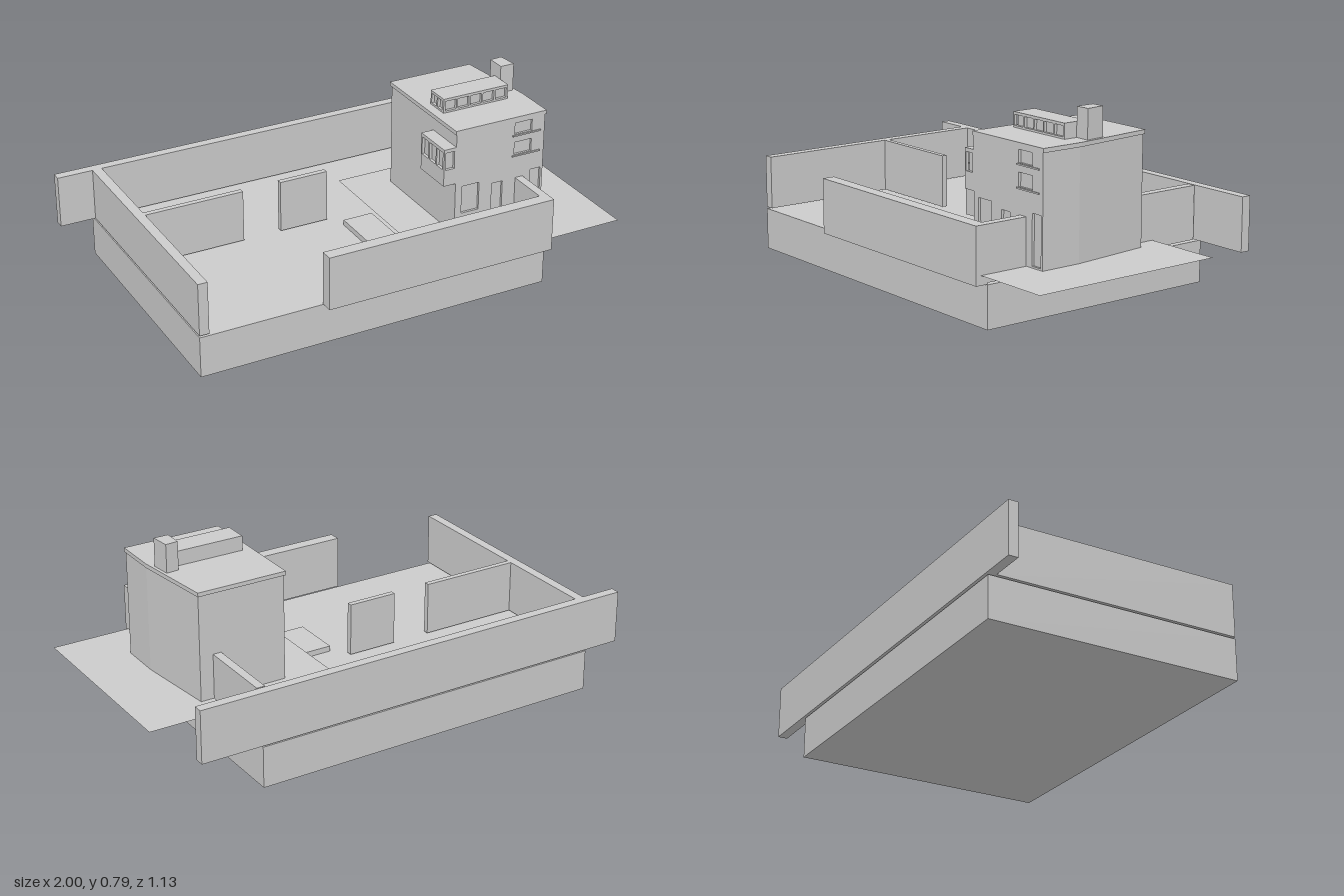
import * as THREE from 'three';

const mat = new THREE.MeshStandardMaterial({ color: 0xcccccc, flatShading: true });
const sheetMat = new THREE.MeshStandardMaterial({ color: 0xcccccc, side: THREE.DoubleSide });

// Box given by its limits on each axis
function box(parent, name, x0, x1, y0, y1, z0, z1) {
  const m = new THREE.Mesh(new THREE.BoxGeometry(x1 - x0, y1 - y0, z1 - z0), mat);
  m.position.set((x0 + x1) / 2, (y0 + y1) / 2, (z0 + z1) / 2);
  m.name = name;
  parent.add(m);
  return m;
}

// Upright prism over a floor plan of [x, z] points
function prism(parent, name, plan, y0, y1) {
  const shape = new THREE.Shape(plan.map(([x, z]) => new THREE.Vector2(x, -z)));
  const g = new THREE.ExtrudeGeometry(shape, { depth: y1 - y0, bevelEnabled: false });
  g.rotateX(-Math.PI / 2);
  const m = new THREE.Mesh(g, mat);
  m.position.y = y0;
  m.name = name;
  parent.add(m);
}

// Box with a band of set-back panes between posts on its front and left-hand end
function glazedBox(parent, name, [x0, x1, y0, y1, z0, z1], sill, head, nx, nz) {
  const g = new THREE.Group();
  g.name = name;
  const t = 0.008, d = 0.012;
  box(g, 'core', x0 + d, x1, y0, y1, z0, z1 - d);
  box(g, 'parapet', x0, x1, y0, sill, z0, z1);
  box(g, 'lid', x0, x1, head, y1, z0, z1);
  for (let i = 0; i <= nx; i++) {
    const x = x0 + (x1 - x0 - t) * i / nx;
    box(g, 'frontPost', x, x + t, sill, head, z1 - d, z1);
  }
  for (let i = 0; i < nz; i++) {
    const z = z0 + (z1 - z0 - t) * i / nz;
    box(g, 'sidePost', x0, x0 + d, sill, head, z, z + t);
  }
  parent.add(g);
}

// Flat sheet facing up
function sheet(parent, name, x0, x1, z0, z1, y) {
  const m = new THREE.Mesh(new THREE.PlaneGeometry(x1 - x0, z1 - z0).rotateX(-Math.PI / 2), sheetMat);
  m.position.set((x0 + x1) / 2, y, (z0 + z1) / 2);
  m.name = name;
  parent.add(m);
}

export function createModel() {
  const root = new THREE.Group();
  root.name = 'walledHouse';

  // Plinth and paving
  box(root, 'plinth', -0.85, 0.665, 0, 0.172, -0.56, 0.51);
  sheet(root, 'paving', 0.16, 1, -0.3, 0.54, 0.212);
  box(root, 'doorstep', 0.03, 0.16, 0.172, 0.195, -0.01, 0.205);

  // Yard walls
  const walls = new THREE.Group();
  walls.name = 'yardWalls';
  root.add(walls);
  box(walls, 'backWall', -1, 0.925, 0.18, 0.4, -0.565, -0.525);
  box(walls, 'frontWall', -0.335, 0.665, 0.174, 0.4, 0.51, 0.562);
  box(walls, 'rightWall', -0.85, -0.81, 0.18, 0.4, -0.525, 0.51);
  box(walls, 'leftWallBack', 0.63, 0.665, 0.18, 0.4, -0.52, -0.19);
  box(walls, 'leftWallFront', 0.63, 0.665, 0.18, 0.4, 0.33, 0.51);
  box(walls, 'innerWallLong', -0.81, -0.39, 0.18, 0.4, -0.095, -0.072);
  box(walls, 'innerWallShort', -0.225, -0.015, 0.18, 0.4, -0.095, -0.072);

  // House body with one slanting side
  const house = new THREE.Group();
  house.name = 'house';
  root.add(house);
  prism(house, 'body', [[0.35, 0.32], [0.76, 0.32], [0.76, 0.155], [0.722, -0.19], [0.35, -0.19]], 0.213, 0.655);
  prism(house, 'roofSlab', [[0.345, 0.333], [0.765, 0.333], [0.765, 0.15], [0.726, -0.197], [0.345, -0.197]], 0.655, 0.672);

  // Front skin with door and window openings
  const front = new THREE.Shape([[0.35, 0.213], [0.76, 0.213], [0.76, 0.655], [0.35, 0.655]]
    .map(p => new THREE.Vector2(...p)));
  const openings = [
    [0.38, 0.46, 0.3, 0.42], [0.52, 0.57, 0.22, 0.4], [0.7, 0.75, 0.22, 0.42],
    [0.62, 0.7, 0.595, 0.645], [0.62, 0.7, 0.505, 0.56],
  ];
  for (const [x0, x1, y0, y1] of openings) {
    front.holes.push(new THREE.Path([[x0, y0], [x0, y1], [x1, y1], [x1, y0]]
      .map(p => new THREE.Vector2(...p))));
  }
  const skin = new THREE.Mesh(new THREE.ExtrudeGeometry(front, { depth: 0.01, bevelEnabled: false }), mat);
  skin.position.z = 0.32;
  skin.name = 'frontSkin';
  house.add(skin);
  for (const y of [0.5, 0.59]) box(house, 'windowSill', 0.61, 0.74, y - 0.003, y + 0.003, 0.325, 0.335);

  // Bay, roof light and chimney
  glazedBox(house, 'bay', [0.295, 0.35, 0.44, 0.6, 0.15, 0.33], 0.51, 0.585, 1, 3);
  glazedBox(house, 'roofLight', [0.385, 0.685, 0.672, 0.733, 0.065, 0.167], 0.68, 0.722, 5, 2);
  prism(house, 'chimney', [[0.685, 0.108], [0.747, 0.108], [0.738, 0.026], [0.685, 0.03]], 0.672, 0.79);

  return root;
}
